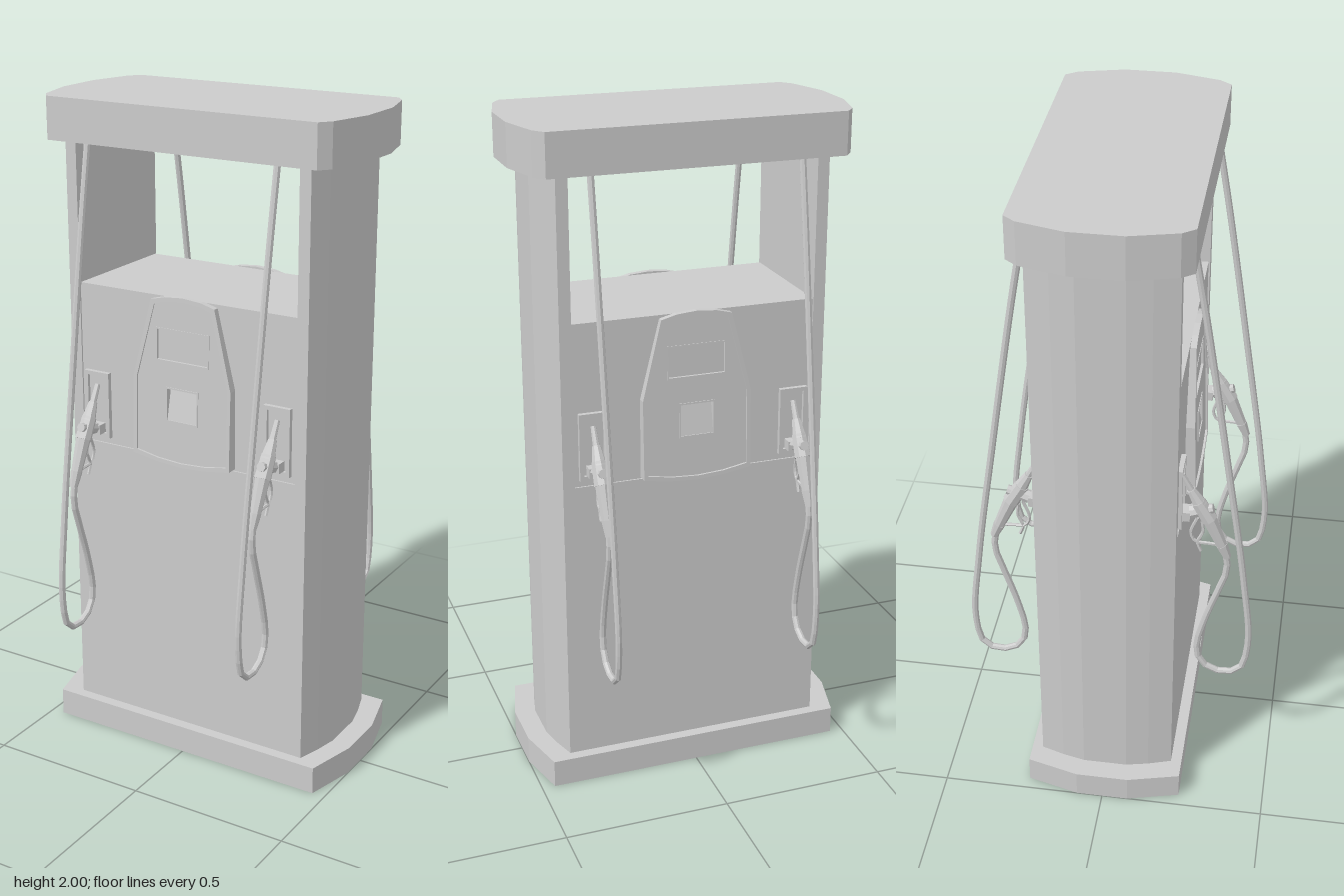
import * as THREE from 'three';

const material = new THREE.MeshStandardMaterial({ color: 0xcccccc, flatShading: true, side: THREE.DoubleSide });

function add(parent, name, geometry) {
  const mesh = new THREE.Mesh(geometry, material);
  mesh.name = name;
  parent.add(mesh);
  return mesh;
}

function box(parent, name, x0, x1, y0, y1, z0, z1) {
  const g = new THREE.BoxGeometry(x1 - x0, y1 - y0, z1 - z0);
  g.translate((x0 + x1) / 2, (y0 + y1) / 2, (z0 + z1) / 2);
  return add(parent, name, g);
}

const shapeOf = (pts) => new THREE.Shape(pts.map(([x, y]) => new THREE.Vector2(x, y)));
const rect = (x0, x1, y0, y1) => [[x0, y0], [x1, y0], [x1, y1], [x0, y1]];

// Extrude an outline along z, with optional holes
function plate(pts, depth, z, holes = []) {
  const shape = shapeOf(pts);
  holes.forEach((h) => shape.holes.push(shapeOf(h)));
  return new THREE.ExtrudeGeometry(shape, { depth, bevelEnabled: false }).translate(0, 0, z);
}

// Upright prism from a floor plan
const prism = (pts, y0, y1) => plate(pts, y1 - y0, 0).rotateX(-Math.PI / 2).translate(0, y0, 0);

// Mirror a quarter plan (front edge to side) into a closed outline
function fullPlan(quarter) {
  const half = [...quarter, ...quarter.map(([x, z]) => [x, -z]).reverse()];
  return [...half, ...half.map(([x, z]) => [-x, -z])];
}

// Tapered rod between two [y, z] points in the plane x = 0
function rod(parent, name, a, b, ra, rb, sides = 8) {
  const from = new THREE.Vector3(0, ...a), to = new THREE.Vector3(0, ...b);
  const dir = to.clone().sub(from);
  const mesh = add(parent, name, new THREE.CylinderGeometry(rb, ra, dir.length(), sides));
  mesh.position.copy(from).add(to).multiplyScalar(0.5);
  mesh.quaternion.setFromUnitVectors(new THREE.Vector3(0, 1, 0), dir.normalize());
  return mesh;
}

function tube(parent, name, pts, radius, segments, sides) {
  const curve = new THREE.CatmullRomCurve3(pts.map(([y, z]) => new THREE.Vector3(0, y, z)));
  return add(parent, name, new THREE.TubeGeometry(curve, segments, radius, sides));
}

// Thin the fascia towards the top so its face leans back
function lean(g) {
  const p = g.attributes.position;
  for (let i = 0; i < p.count; i++) {
    const t = (p.getY(i) - 0.955) / 0.51;
    p.setZ(i, 0.2 + (p.getZ(i) - 0.2) * (1 - 0.5 * t));
  }
  g.computeVertexNormals();
  return g;
}

// Outline of the fascia, inset by d
function fasciaOutline(d) {
  const right = [[0.08, 0.957 + d], [0.165 - d, 0.97 + d], [0.165 - d, 1.21],
    [0.107 - d, 1.445 - d], [0.06, 1.457 - d]];
  const left = right.map(([x, y]) => [-x, y]).reverse();
  return [[0, 0.952 + d], ...right, [0, 1.462 - d], ...left];
}

function makeFascia() {
  const g = new THREE.Group();
  g.name = 'fascia';
  const screen = rect(-0.085, 0.085, 1.27, 1.36);
  const slot = rect(-0.05, 0.05, 1.09, 1.185);
  const inner = fasciaOutline(0.012);
  add(g, 'fasciaRim', lean(plate(fasciaOutline(0), 0.035, 0.2, [inner])));
  add(g, 'fasciaPanel', lean(plate(inner, 0.028, 0.2, [screen, slot])));
  add(g, 'screen', lean(plate(screen, 0.02, 0.2)));
  add(g, 'screenFrame', lean(plate(rect(-0.09, 0.09, 1.265, 1.365), 0.004, 0.227, [screen])));
  add(g, 'slotFrame', lean(plate(rect(-0.055, 0.055, 1.085, 1.19), 0.004, 0.227, [slot])));
  // Sloping floor of the receipt slot, deepest at the top
  const floor = plate([[0.2, 1.09], [0.224, 1.09], [0.203, 1.185], [0.2, 1.185]], 0.1, -0.05);
  add(g, 'slotFloor', floor.rotateY(-Math.PI / 2).scale(1, 1, 1));
  return g;
}

// Holster, nozzle and hose, built at x = 0
function makeDispenser() {
  const g = new THREE.Group();
  g.name = 'dispenser';
  add(g, 'holsterFrame', plate(rect(-0.043, 0.043, 0.985, 1.19), 0.014, 0.2,
    [rect(-0.031, 0.031, 1.0, 1.178)]));
  box(g, 'holsterBack', -0.032, 0.032, 1.0, 1.18, 0.2, 0.204);
  box(g, 'holsterRest', -0.022, 0.022, 1.0, 1.03, 0.204, 0.235);

  const nozzle = new THREE.Group();
  nozzle.name = 'nozzle';
  g.add(nozzle);
  rod(nozzle, 'spout', [1.15, 0.208], [1.08, 0.245], 0.008, 0.011);
  rod(nozzle, 'spoutCollar', [1.1, 0.234], [1.05, 0.262], 0.013, 0.022);
  rod(nozzle, 'valveBody', [1.06, 0.255], [1.0, 0.29], 0.022, 0.025);
  rod(nozzle, 'valveCap', [1.02, 0.235], [1.04, 0.3], 0.02, 0.014);
  rod(nozzle, 'handle', [1.01, 0.285], [0.9, 0.332], 0.023, 0.016);
  rod(nozzle, 'swivel', [0.91, 0.328], [0.865, 0.346], 0.018, 0.012);
  tube(nozzle, 'triggerGuard', [[1.0, 0.255], [0.945, 0.237], [0.915, 0.25], [0.91, 0.29], [0.908, 0.325]], 0.005, 12, 5);
  tube(nozzle, 'trigger', [[0.99, 0.268], [0.95, 0.272], [0.91, 0.257], [0.88, 0.268]], 0.005, 8, 5);

  tube(g, 'hose', [[0.88, 0.34], [0.82, 0.347], [0.74, 0.325], [0.62, 0.288], [0.5, 0.265],
    [0.44, 0.282], [0.41, 0.335], [0.425, 0.395], [0.53, 0.42], [0.78, 0.397], [1.2, 0.335],
    [1.65, 0.265], [1.88, 0.225]], 0.01, 48, 8);
  return g;
}

export function createModel() {
  const model = new THREE.Group();
  model.name = 'fuelPump';

  // Plinth and canopy
  add(model, 'base', prism(fullPlan([[0.46, 0.238], [0.5, 0.08]]), 0, 0.085));
  add(model, 'canopy', prism(fullPlan([[0.435, 0.243], [0.462, 0.208], [0.497, 0.075]]), 1.875, 2));

  // Cabinet between the side columns
  box(model, 'lowerCabinet', -0.365, 0.365, 0.085, 0.965, -0.205, 0.205);
  box(model, 'upperCabinet', -0.365, 0.365, 0.965, 1.455, -0.2, 0.2);

  // Faceted side columns
  const column = [[0.365, -0.205], [0.4, -0.205], [0.422, -0.135], [0.437, -0.067],
    [0.437, 0.067], [0.422, 0.135], [0.4, 0.205], [0.365, 0.205]];
  for (const s of [1, -1]) {
    const pts = column.map(([x, z]) => [s * x, z]);
    add(model, s > 0 ? 'leftColumn' : 'rightColumn', prism(pts, 0.085, 1.875));
  }

  // The same equipment on the front and the back
  for (const turn of [0, Math.PI]) {
    const side = new THREE.Group();
    side.name = turn ? 'backEquipment' : 'frontEquipment';
    side.rotation.y = turn;
    side.add(makeFascia());
    for (const x of [-0.308, 0.308]) {
      const dispenser = makeDispenser();
      dispenser.position.x = x;
      side.add(dispenser);
    }
    model.add(side);
  }
  return model;
}
